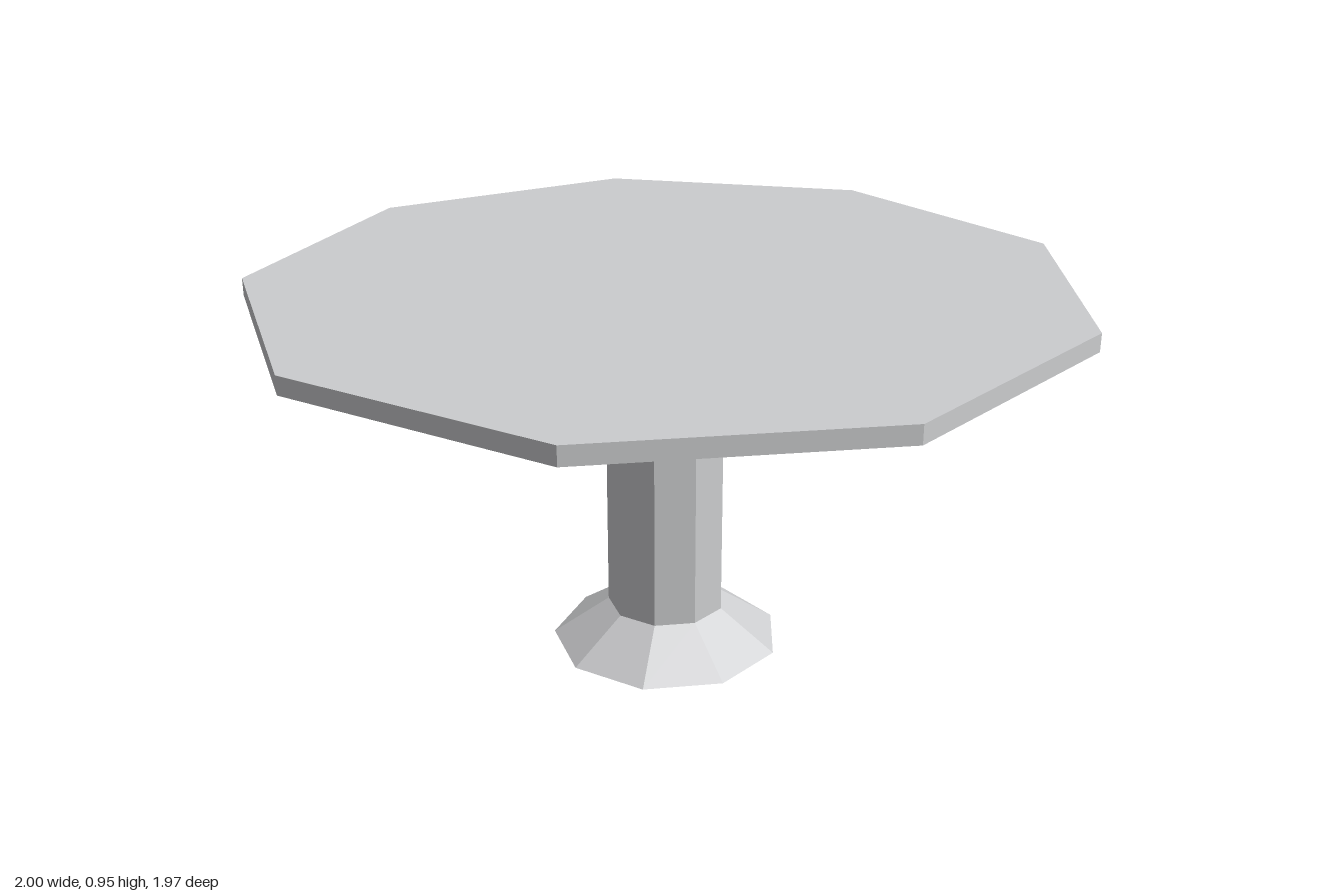
import * as THREE from 'three';

const SIDES = 9;
const CENTRE_Z = 0.03;

export function createModel() {
  const table = new THREE.Group();
  table.name = 'pedestalTable';
  const paleGrey = new THREE.MeshStandardMaterial({ color: 0xcccdcf, flatShading: true });
  paleGrey.name = 'paleGrey';

  // Nine-sided prism from y0 to y1, with one corner pointing to the back
  function addPrism(name, topRadius, bottomRadius, y0, y1) {
    const geometry = new THREE.CylinderGeometry(
      topRadius, bottomRadius, y1 - y0, SIDES, 1, false, Math.PI);
    const mesh = new THREE.Mesh(geometry, paleGrey);
    mesh.name = name;
    mesh.position.set(0, (y0 + y1) / 2, CENTRE_Z);
    table.add(mesh);
  }

  addPrism('tableTop', 1.0154, 1.0154, 0.907, 0.951);
  addPrism('column', 0.149, 0.149, 0.1, 0.907);
  addPrism('flaredFoot', 0.149, 0.291, 0, 0.1);

  return table;
}
